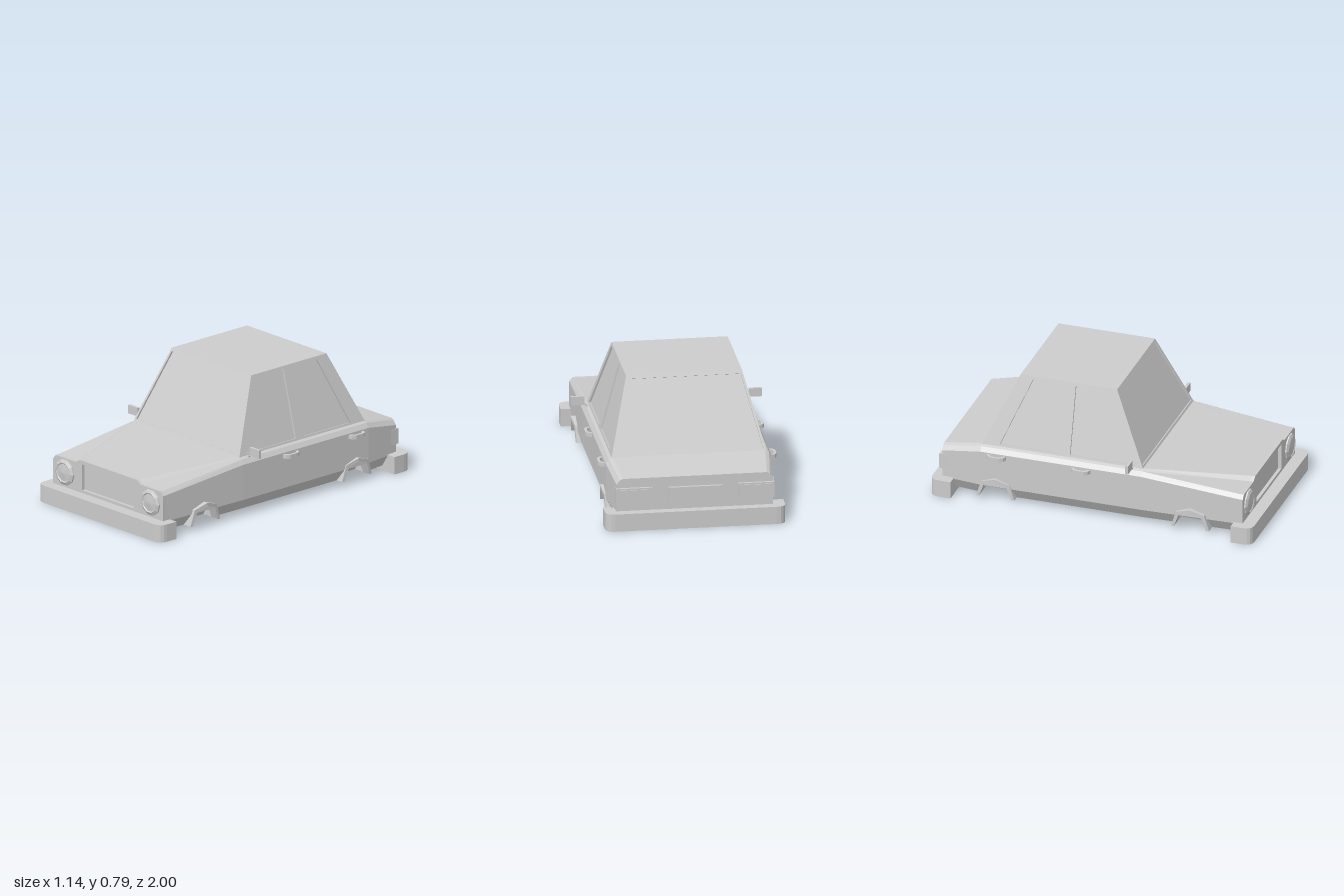
import * as THREE from 'three';

const paint = new THREE.MeshStandardMaterial({ color: 0xcccccc });
paint.name = 'grey paint';

const V = (x, y, z) => new THREE.Vector3(x, y, z);
const shapeOf = (pts) => new THREE.Shape(pts.map(([x, y]) => new THREE.Vector2(x, y)));
const mirrorRing = (half) => [...half, ...half.map(([x, y]) => [-x, y]).reverse()];

function add(parent, name, geometry, x = 0, y = 0, z = 0) {
  const mesh = new THREE.Mesh(geometry, paint);
  mesh.name = name;
  mesh.position.set(x, y, z);
  parent.add(mesh);
  return mesh;
}

// Joins symmetric half sections [z, [[x, y], ...]] ordered from front to back, with end caps
function loft(parent, name, sections) {
  const group = new THREE.Group();
  group.name = name;
  const rings = sections.map(([z, half]) => mirrorRing(half).map(([x, y]) => [x, y, z]));
  const pos = [];
  for (let i = 0; i + 1 < rings.length; i++) {
    const n = rings[i].length;
    for (let j = 0; j < n; j++) {
      const k = (j + 1) % n;
      const [a, b, c, d] = [rings[i][j], rings[i][k], rings[i + 1][j], rings[i + 1][k]];
      pos.push(...a, ...b, ...c, ...b, ...d, ...c);
    }
  }
  const skin = new THREE.BufferGeometry();
  skin.setAttribute('position', new THREE.Float32BufferAttribute(pos, 3));
  skin.computeVertexNormals();
  add(group, name + 'Skin', skin);
  const [zf, front] = sections[0];
  const [zb, back] = sections[sections.length - 1];
  add(group, name + 'FrontCap', new THREE.ShapeGeometry(shapeOf(mirrorRing(front))), 0, 0, zf);
  add(group, name + 'BackCap', new THREE.ShapeGeometry(shapeOf(mirrorRing(back))).rotateY(Math.PI), 0, 0, zb);
  parent.add(group);
}

// Cabin dimensions by height fraction h: 0 at the waist, 1 at the roof
const cabX = (h) => 0.46 - 0.115 * h;
const cabZ = (h) => 0.5 - 0.2 * h;
const cabY = (h) => 0.355 + 0.435 * h;
const CAB_MID = -0.2;

// Tapered block covering part of the cabin height, optionally inset
function cabinBlock(h0, h1, inset) {
  const g = new THREE.BoxGeometry(2, 1, 2).toNonIndexed();
  const p = g.attributes.position;
  for (let i = 0; i < p.count; i++) {
    const h = p.getY(i) > 0 ? h1 : h0;
    p.setXYZ(i, p.getX(i) * (cabX(h) - inset), cabY(h), CAB_MID + p.getZ(i) * (cabZ(h) - inset));
  }
  g.computeVertexNormals();
  return g;
}

// Window frame: flat panel from corners (bl, br, tr, tl) with openings, thickened inward
function frame(parent, name, corners, holes) {
  const [bl, br, , tl] = corners;
  const u = br.clone().sub(bl).normalize();
  const n = u.clone().cross(tl.clone().sub(bl)).normalize();
  const v = n.clone().cross(u);
  const flat = (pts) => pts.map((p) => {
    const d = p.clone().sub(bl);
    return [d.dot(u), d.dot(v)];
  });
  const shape = shapeOf(flat(corners));
  holes.forEach((h) => shape.holes.push(shapeOf(flat(h))));
  const g = new THREE.ExtrudeGeometry(shape, { depth: 0.012, bevelEnabled: false });
  g.translate(0, 0, -0.012);
  g.applyMatrix4(new THREE.Matrix4().makeBasis(u, v, n).setPosition(bl));
  add(parent, name, g);
}

function buildCabin(car) {
  const cabin = new THREE.Group();
  cabin.name = 'cabin';
  car.add(cabin);
  add(cabin, 'glass', cabinBlock(0, 0.985, 0.012));
  add(cabin, 'roof', cabinBlock(0.975, 1, 0));
  const top = 0.975, lo = 0.03, hi = 0.96;
  for (const s of [1, -1]) {
    // Windscreen and rear window
    const e = (k, h, inset = 0) => V(s * k * (cabX(h) - inset), cabY(h), CAB_MID + s * cabZ(h));
    frame(cabin, s > 0 ? 'windscreenFrame' : 'rearWindowFrame',
      [e(-1, 0), e(1, 0), e(1, top), e(-1, top)],
      [[e(-1, lo, 0.014), e(1, lo, 0.014), e(1, hi, 0.014), e(-1, hi, 0.014)]]);
    // Door windows
    const d = (z, h) => V(s * cabX(h), cabY(h), z);
    const outer = [d(0.3, 0), d(-0.7, 0), d(CAB_MID - cabZ(top), top), d(CAB_MID + cabZ(top), top)];
    frame(cabin, s > 0 ? 'leftWindowFrame' : 'rightWindowFrame',
      s > 0 ? outer : [outer[1], outer[0], outer[3], outer[2]],
      [[d(0.25, lo), d(-0.155, lo), d(-0.155, hi), d(0.075, hi)],
        [d(-0.22, lo), d(-0.59, lo), d(-0.42, hi), d(-0.22, hi)]]);
  }
}

function buildBody(car) {
  const nose = [[0.25, 0.307], [0.28, 0.286], [0.455, 0.286], [0.477, 0.262], [0.477, 0.1]];
  loft(car, 'body', [
    [0.905, nose],
    [0.3, [[0.452, 0.356], [0.457, 0.354], [0.475, 0.345], [0.494, 0.318], [0.494, 0.1]]],
    [-0.7, [[0.452, 0.356], [0.457, 0.354], [0.475, 0.345], [0.494, 0.318], [0.494, 0.1]]],
    [-0.945, [[0.425, 0.307], [0.43, 0.306], [0.445, 0.298], [0.465, 0.272], [0.465, 0.1]]],
  ]);
  // Nose panel with recessed grille
  const fascia = shapeOf(mirrorRing(nose));
  fascia.holes.push(shapeOf([[-0.225, 0.125], [0.225, 0.125], [0.225, 0.284], [-0.225, 0.284]]));
  add(car, 'grilleSurround', new THREE.ExtrudeGeometry(fascia, { depth: 0.02, bevelEnabled: false }), 0, 0, 0.905);

  // Sills tuck inward and are interrupted by the wheel wells
  const sill = (z, w) => [z, [[w, 0.1], [w - 0.045, 0.03]]];
  loft(car, 'frontSill', [sill(0.925, 0.477), sill(0.705, 0.482)]);
  loft(car, 'middleSill', [sill(0.505, 0.488), sill(0.3, 0.494), sill(-0.505, 0.494)]);
  loft(car, 'rearSill', [sill(-0.705, 0.494), sill(-0.945, 0.465)]);
  loft(car, 'floor', [[0.92, [[0.41, 0.1], [0.37, 0.03]]], [-0.94, [[0.41, 0.1], [0.37, 0.03]]]]);
}

// Bumper bar with rounded outer corners, seen from above
function bumper(car, name, s) {
  const w = 0.535, r = 0.055;
  const sh = new THREE.Shape();
  sh.moveTo(-w, 0.87);
  sh.lineTo(w, 0.87);
  sh.lineTo(w, 1 - r);
  sh.quadraticCurveTo(w, 1, w - r, 1);
  sh.lineTo(-w + r, 1);
  sh.quadraticCurveTo(-w, 1, -w, 1 - r);
  const g = new THREE.ExtrudeGeometry(sh, { depth: 0.107, bevelEnabled: false, curveSegments: 4 });
  g.rotateX(Math.PI / 2).translate(0, 0.107, 0);
  if (s < 0) g.rotateY(Math.PI);
  add(car, name, g);
}

// Faceted wheel arch lip that bulges most at its middle
function wheelArch(car, s, z) {
  const arch = shapeOf([[-0.118, 0.03], [-0.088, 0.128], [0, 0.158], [0.088, 0.128], [0.118, 0.03],
    [0.1, 0.03], [0.07, 0.112], [0, 0.138], [-0.07, 0.112], [-0.1, 0.03]]);
  const g = new THREE.ExtrudeGeometry(arch, { depth: 0.075, bevelEnabled: false });
  const p = g.attributes.position;
  for (let i = 0; i < p.count; i++) {
    if (p.getZ(i) > 0.01) p.setZ(i, 0.075 - 0.16 * Math.abs(p.getX(i)));
  }
  g.computeVertexNormals();
  g.rotateY(s * Math.PI / 2);
  add(car, 'wheelArch', g, s * 0.44, 0, z);
}

function buildDetails(car) {
  const lampProfile = [[0.08, 0], [0.08, 0.01], [0.062, 0.02], [0.055, 0.015], [0, 0.022]]
    .map(([x, y]) => new THREE.Vector2(x, y));
  const handle = shapeOf([[-0.062, 0], [-0.05, 0.03], [-0.03, 0.042], [0.03, 0.042], [0.05, 0.03], [0.062, 0],
    [0.045, 0], [0.035, 0.018], [0.022, 0.026], [-0.022, 0.026], [-0.035, 0.018], [-0.045, 0]]);
  for (const s of [1, -1]) {
    // Headlights
    const lamp = new THREE.LatheGeometry(lampProfile, 10).toNonIndexed();
    lamp.rotateX(Math.PI / 2).rotateZ(Math.PI / 2);
    const p = lamp.attributes.position;
    const a = V().fromBufferAttribute(p, 0);
    // Keep the lamp faces turned outward
    lamp.computeVertexNormals();
    const mesh = add(car, 'headlight', lamp, s * 0.373, 0.2, 0.923);
    mesh.rotation.z = -Math.atan2(a.y, a.x);

    // Tail lights wrap the rear corners
    add(car, 'tailLight', new THREE.BoxGeometry(0.215, 0.095, 0.067), s * 0.3625, 0.203, -0.9275);
    add(car, 'tailLightLens', new THREE.BoxGeometry(0.195, 0.075, 0.006), s * 0.3625, 0.203, -0.963);

    // Door handles
    for (const z of [-0.075, -0.6]) {
      const g = new THREE.ExtrudeGeometry(handle, { depth: 0.024, bevelEnabled: false });
      g.translate(0, 0, -0.012).rotateX(Math.PI / 2).rotateY(s * Math.PI / 2);
      add(car, 'doorHandle', g, s * 0.488, 0.298, z);
    }

    // Wing mirrors
    add(car, 'mirror', new THREE.BoxGeometry(0.08, 0.052, 0.018), s * 0.528, 0.386, 0.235);
    const arm = add(car, 'mirrorArm', new THREE.BoxGeometry(0.06, 0.009, 0.009), s * 0.475, 0.353, 0.235);
    arm.rotation.z = s * 0.75;

    for (const z of [0.605, -0.605]) wheelArch(car, s, z);
  }
  add(car, 'numberPlate', new THREE.BoxGeometry(0.32, 0.09, 0.03), 0, 0.2, -0.947);
  bumper(car, 'frontBumper', 1);
  bumper(car, 'rearBumper', -1);
}

export function createModel() {
  const car = new THREE.Group();
  car.name = 'car';
  buildBody(car);
  buildCabin(car);
  buildDetails(car);
  return car;
}
